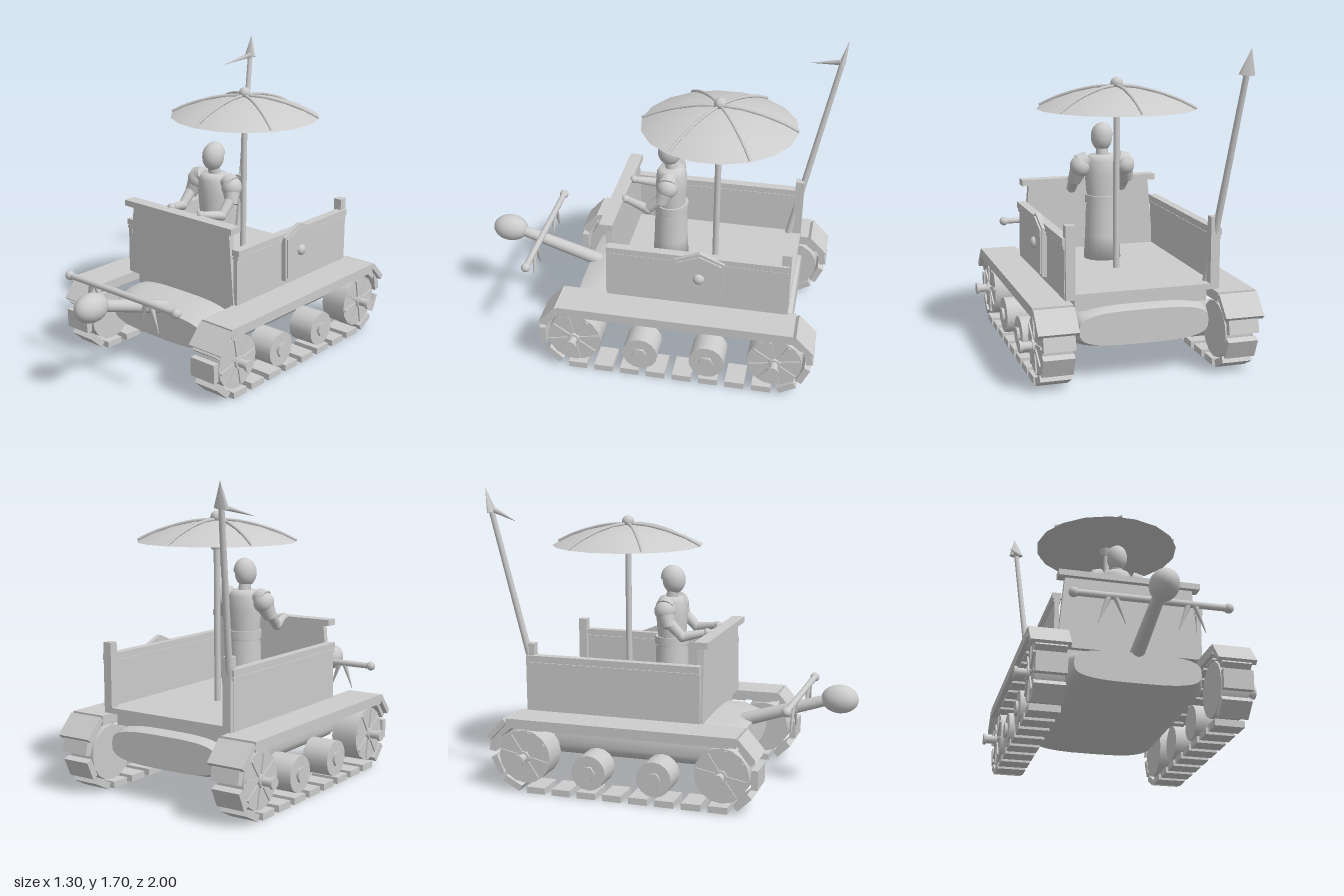
import * as THREE from 'three';

const grey = new THREE.MeshStandardMaterial({ color: 0xcccccc });
grey.name = 'plain grey';

export function createModel() {
  const root = new THREE.Group();
  root.name = 'trackedRamWagon';
  let parent = root;

  const group = (name) => {
    parent = new THREE.Group();
    parent.name = name;
    root.add(parent);
    return parent;
  };
  const add = (name, geo, x = 0, y = 0, z = 0) => {
    const m = new THREE.Mesh(geo, grey);
    m.name = name;
    m.position.set(x, y, z);
    parent.add(m);
    return m;
  };
  // box given by its min and max corners
  const box = (name, x0, x1, y0, y1, z0, z1) =>
    add(name, new THREE.BoxGeometry(x1 - x0, y1 - y0, z1 - z0), (x0 + x1) / 2, (y0 + y1) / 2, (z0 + z1) / 2);
  const ball = (name, x, y, z, rx, ry = rx, rz = rx) =>
    add(name, new THREE.SphereGeometry(1, 20, 14).scale(rx, ry, rz), x, y, z);
  // round bar from a to b, radius ra at a and rb at b
  const rod = (name, a, b, ra, rb = ra, sides = 12) => {
    const p = new THREE.Vector3(...a), q = new THREE.Vector3(...b), d = q.clone().sub(p);
    const mid = p.clone().add(q).multiplyScalar(0.5);
    const m = add(name, new THREE.CylinderGeometry(rb, ra, d.length(), sides), mid.x, mid.y, mid.z);
    m.quaternion.setFromUnitVectors(new THREE.Vector3(0, 1, 0), d.normalize());
    return m;
  };

  // hull: a rounded barrel with tapered ends
  group('body');
  const hull = new THREE.CylinderGeometry(1, 1, 1, 40, 3).rotateX(Math.PI / 2);
  const pos = hull.attributes.position;
  const round = (v) => Math.sign(v) * Math.abs(v) ** 0.62;
  for (let i = 0; i < pos.count; i++) {
    const k = Math.round((pos.getZ(i) + 0.5) * 3);
    const sx = [0.35, 0.388, 0.388, 0.345][k], sy = [0.09, 0.13, 0.13, 0.085][k];
    pos.setXYZ(i, round(pos.getX(i)) * sx, 0.28 + round(pos.getY(i)) * sy, [-0.84, -0.72, 0.27, 0.4][k]);
  }
  hull.computeVertexNormals();
  add('hull', hull);
  box('floorSupport', -0.36, 0.36, 0.37, 0.45, -0.78, 0.18);
  box('floor', -0.4, 0.4, 0.44, 0.47, -0.82, 0.21);

  // cabin walls, rails and rear posts
  for (const s of [-1, 1]) {
    const c = s * 0.405;
    box('sideWall', c - 0.013, c + 0.013, 0.44, 0.73, -0.8, 0.2);
    box('sideRail', c - 0.025, c + 0.025, 0.725, 0.76, -0.81, 0.2);
    box('sideRailTrim', c - 0.02, c + 0.02, 0.705, 0.72, -0.81, 0.2);
    box('rearPost', s * 0.39 - 0.025, s * 0.39 + 0.025, 0.44, 0.825, -0.82, -0.77);
  }
  const panel = new THREE.Shape([[-0.4, 0.46], [0.4, 0.46], [0.365, 0.86], [-0.365, 0.86]].map((p) => new THREE.Vector2(...p)));
  add('frontPanel', new THREE.ExtrudeGeometry(panel, { depth: 0.035, bevelEnabled: false }), 0, 0, 0.175);
  box('frontRail', -0.405, 0.405, 0.855, 0.89, 0.165, 0.24);

  // pentagonal shield on the left wall
  group('shield');
  const outline = [[-0.13, 0.475], [0.13, 0.475], [0.14, 0.74], [0, 0.797], [-0.14, 0.74]];
  const plate = (name, k, depth, x) => {
    const shape = new THREE.Shape(outline.map(([a, b]) => new THREE.Vector2(a * k, 0.625 + (b - 0.625) * k)));
    add(name, new THREE.ExtrudeGeometry(shape, { depth, bevelEnabled: false }).rotateY(Math.PI / 2), x, 0, -0.326);
  };
  plate('shieldRim', 1, 0.027, 0.42);
  plate('shieldFace', 0.9, 0.009, 0.447);
  ball('shieldBoss', 0.455, 0.637, -0.326, 0.025, 0.032, 0.032);

  // fenders, wheels and tracks on both sides
  for (const s of [-1, 1]) {
    group(s > 0 ? 'leftTrack' : 'rightTrack');
    const disc = (name, x0, x1, y, z, r, sides) =>
      rod(name, [s * x0, y, z], [s * x1, y, z], r, r, sides);
    const slab = (name, z, y, angle, len, x, width, thick) => {
      add(name, new THREE.BoxGeometry(width, thick, len), s * x, y, z).rotation.x = angle;
    };
    slab('fender', -0.208, 0.406, 0, 1.32, 0.494, 0.212, 0.054);
    slab('frontFlap', 0.499, 0.366, 0.85, 0.145, 0.494, 0.212, 0.03);
    slab('rearFlap', -0.925, 0.366, -0.8, 0.145, 0.494, 0.212, 0.03);

    for (const z of [0.364, -0.775]) {
      disc('driveWheel', 0.41, 0.565, 0.21, z, 0.153, 16);
      disc('axle', 0.56, 0.65, 0.21, z, 0.024, 12);
      disc('axleCollar', 0.565, 0.585, 0.21, z, 0.035, 12);
      disc('axleCap', 0.635, 0.65, 0.21, z, 0.033, 12);
      for (let i = 0; i < 8; i++) {
        const spoke = add('spoke', new THREE.BoxGeometry(0.012, 0.115, 0.016).translate(0, 0.085, 0), s * 0.567, 0.21, z);
        spoke.rotation.x = (i + 0.25) * Math.PI / 4;
      }
    }
    for (const z of [-0.016, -0.396]) {
      disc('roadWheel', 0.41, 0.565, 0.15, z, 0.1, 16);
      disc('roadWheelNut', 0.56, 0.58, 0.15, z, 0.043, 6);
    }

    const pad = (z, y, angle = 0) => slab('trackPad', z, y, angle, 0.108, 0.49, 0.165, 0.037);
    for (let i = 0; i < 8; i++) {
      pad(0.347 - i * 0.151, 0.0195);
      pad(0.347 - i * 0.151, 0.385);
    }
    // [z, y, tilt] of the pads that wrap the ends
    const ends = [[0.482, 0.075, -0.75], [0.547, 0.205, -1.55], [0.505, 0.33, 0.9],
      [-0.85, 0.05, 0.5], [-0.937, 0.15, 1.15], [-0.957, 0.285, -1.35], [-0.885, 0.365, -0.7]];
    for (const e of ends) pad(...e);
  }

  // battering ram with its spiked crossbar
  group('ram');
  rod('ramPole', [0, 0.365, 0.34], [0, 0.525, 0.84], 0.04, 0.032, 16);
  ball('ramHead', 0, 0.53, 0.895, 0.076, 0.08, 0.105);
  rod('crossbar', [-0.41, 0.545, 0.677], [0.41, 0.545, 0.677], 0.018);
  for (const s of [-1, 1]) {
    ball('crossbarKnob', s * 0.41, 0.545, 0.677, 0.027);
    for (const t of [-1, 1])
      rod('hangingSpike', [s * 0.21 + t * 0.02, 0.535, 0.677], [s * 0.21 + t * 0.072, 0.395, 0.677], 0.016, 0.002, 8);
  }

  // parasol with six ribs
  group('parasol');
  const cz = -0.352;
  rod('parasolPole', [0, 0.46, cz], [0, 1.36, cz], 0.018);
  rod('parasolCollar', [0, 1.31, cz], [0, 1.352, cz], 0.03, 0.043, 16);
  const dome = [[0.434, 1.353], [0.35, 1.394], [0.24, 1.432], [0.12, 1.459], [0, 1.468]];
  add('canopy', new THREE.LatheGeometry(dome.map((p) => new THREE.Vector2(...p)), 18), 0, 0, cz);
  add('canopyUnderside', new THREE.CircleGeometry(0.434, 18).rotateX(Math.PI / 2), 0, 1.353, cz);
  const ribPath = new THREE.CatmullRomCurve3(dome.map(([r, y]) => new THREE.Vector3(0, y + 0.006, r)));
  for (let i = 0; i < 6; i++)
    add('rib', new THREE.TubeGeometry(ribPath, 14, 0.009, 6), 0, 0, cz).rotation.y = i * Math.PI / 3;
  ball('finial', 0, 1.486, cz, 0.034);

  // standing driver
  group('driver');
  const dz = -0.088;
  const robe = [[0.0, 0.465], [0.105, 0.465], [0.098, 0.6], [0.092, 0.78]].map((p) => new THREE.Vector2(...p));
  add('robe', new THREE.LatheGeometry(robe, 20), 0, 0, dz);
  rod('belt', [0, 0.79, dz], [0, 0.835, dz], 0.098, 0.098, 20);
  const chest = [[0.088, 0.77], [0.09, 0.84], [0.1, 0.95], [0.094, 1.03], [0.075, 1.062], [0, 1.065]];
  add('torso', new THREE.LatheGeometry(chest.map((p) => new THREE.Vector2(...p)), 20), 0, 0, dz).scale.z = 0.9;
  rod('neck', [0, 1.05, dz], [0, 1.11, -0.08], 0.036, 0.034);
  ball('head', 0, 1.16, -0.075, 0.06, 0.08, 0.067);
  const cap = new THREE.SphereGeometry(1, 20, 8, 0, Math.PI * 2, 0, Math.PI * 0.42).scale(0.063, 0.083, 0.071);
  add('hair', cap, 0, 1.162, -0.08).rotation.x = -0.3;
  for (const s of [-1, 1]) {
    rod('pauldron', [s * 0.085, 1.04, dz], [s * 0.135, 1.015, dz], 0.045, 0.055);
    ball('shoulder', s * 0.13, 1.0, dz, 0.058, 0.062, 0.06);
    rod('sleeve', [s * 0.13, 1.0, dz], [s * 0.157, 0.91, -0.055], 0.055, 0.036);
    rod('upperArm', [s * 0.15, 0.95, -0.07], [s * 0.15, 0.86, 0.02], 0.034, 0.027);
    ball('elbow', s * 0.15, 0.86, 0.02, 0.029);
    rod('forearm', [s * 0.15, 0.86, 0.02], [s * 0.115, 0.885, 0.14], 0.028, 0.02);
    ball('hand', s * 0.113, 0.888, 0.155, 0.023);
  }

  // leaning spear with a flat tip and a barb
  group('spear');
  rod('spearShaft', [-0.37, 0.46, -0.745], [-0.474, 1.58, -0.975], 0.02, 0.015);
  const tip = rod('spearTip', [-0.474, 1.565, -0.972], [-0.486, 1.698, -1.0], 0.045, 0, 8);
  tip.scale.z = 0.4;
  rod('spearBarb', [-0.465, 1.575, -0.965], [-0.54, 1.525, -0.8], 0.016, 0.001, 6);

  return root;
}
